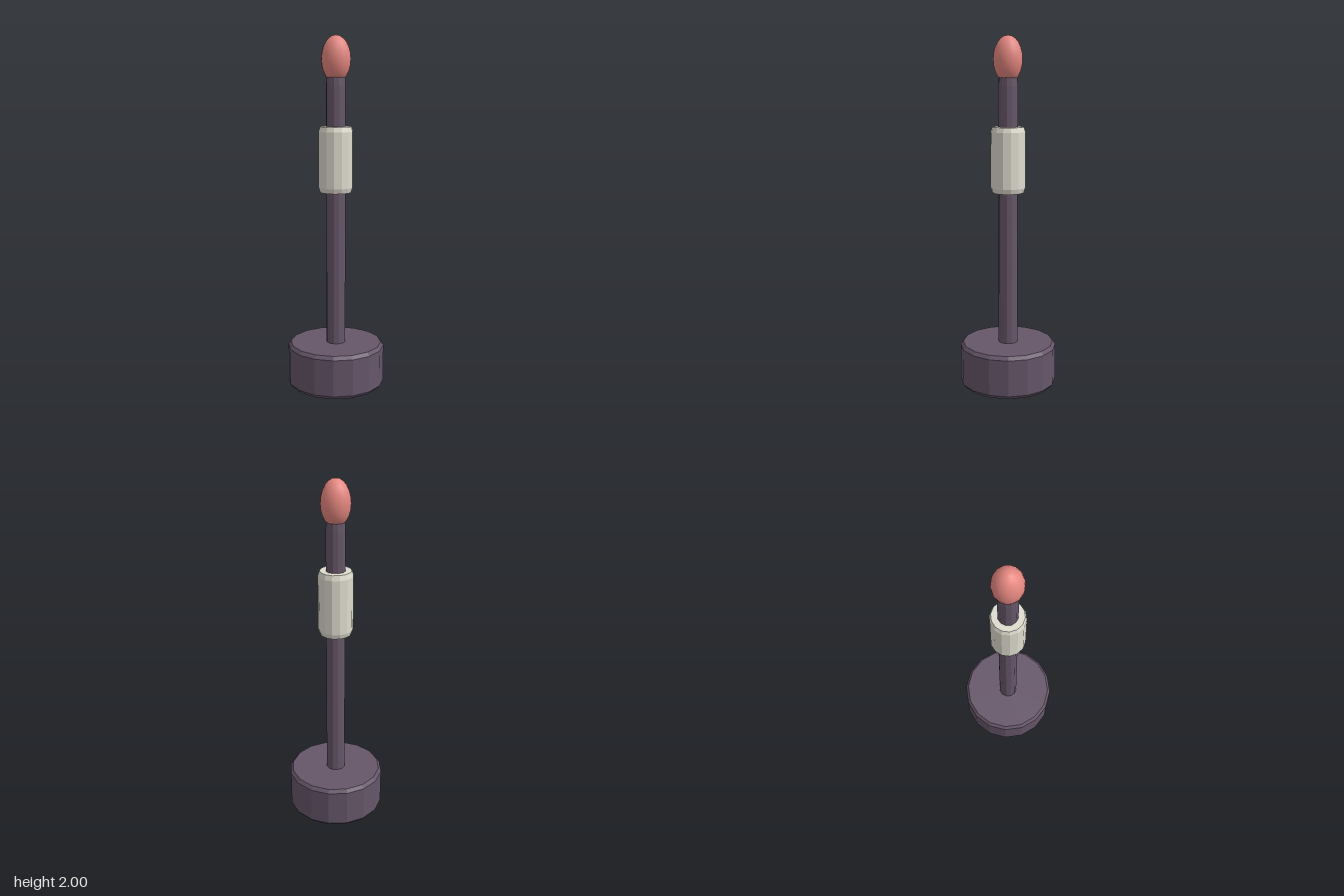
import * as THREE from 'three';

export function createModel() {
  const model = new THREE.Group();
  const purple = new THREE.MeshStandardMaterial({ color: 0x655669, flatShading: true });
  purple.name = 'dark purple';
  const cream = new THREE.MeshStandardMaterial({ color: 0xdedbce, flatShading: true });
  cream.name = 'cream';
  const coral = new THREE.MeshStandardMaterial({ color: 0xe58780 });
  coral.name = 'coral';

  // Upright faceted cylinder with chamfered rims
  function chamferedCylinder(name, material, radius, bottom, top, inset, bevel, sides) {
    const profile = [
      [0, bottom], [radius - inset, bottom], [radius, bottom + bevel],
      [radius, top - bevel], [radius - inset, top], [0, top],
    ].map(([x, y]) => new THREE.Vector2(x, y));
    const mesh = new THREE.Mesh(new THREE.LatheGeometry(profile, sides), material);
    mesh.name = name;
    model.add(mesh);
  }

  chamferedCylinder('base', purple, 0.278, 0, 0.25, 0.016, 0.02, 16);
  chamferedCylinder('pole', purple, 0.055, 0.2, 1.775, 0.003, 0.05, 12);
  chamferedCylinder('sleeve', cream, 0.098, 1.13, 1.5, 0.009, 0.028, 14);

  // Smooth egg-shaped tip seated on the pole
  const tip = new THREE.Mesh(new THREE.SphereGeometry(1, 14, 12), coral);
  tip.name = 'tip';
  tip.scale.set(0.083, 0.13, 0.083);
  tip.position.y = 1.87;
  model.add(tip);

  return model;
}
